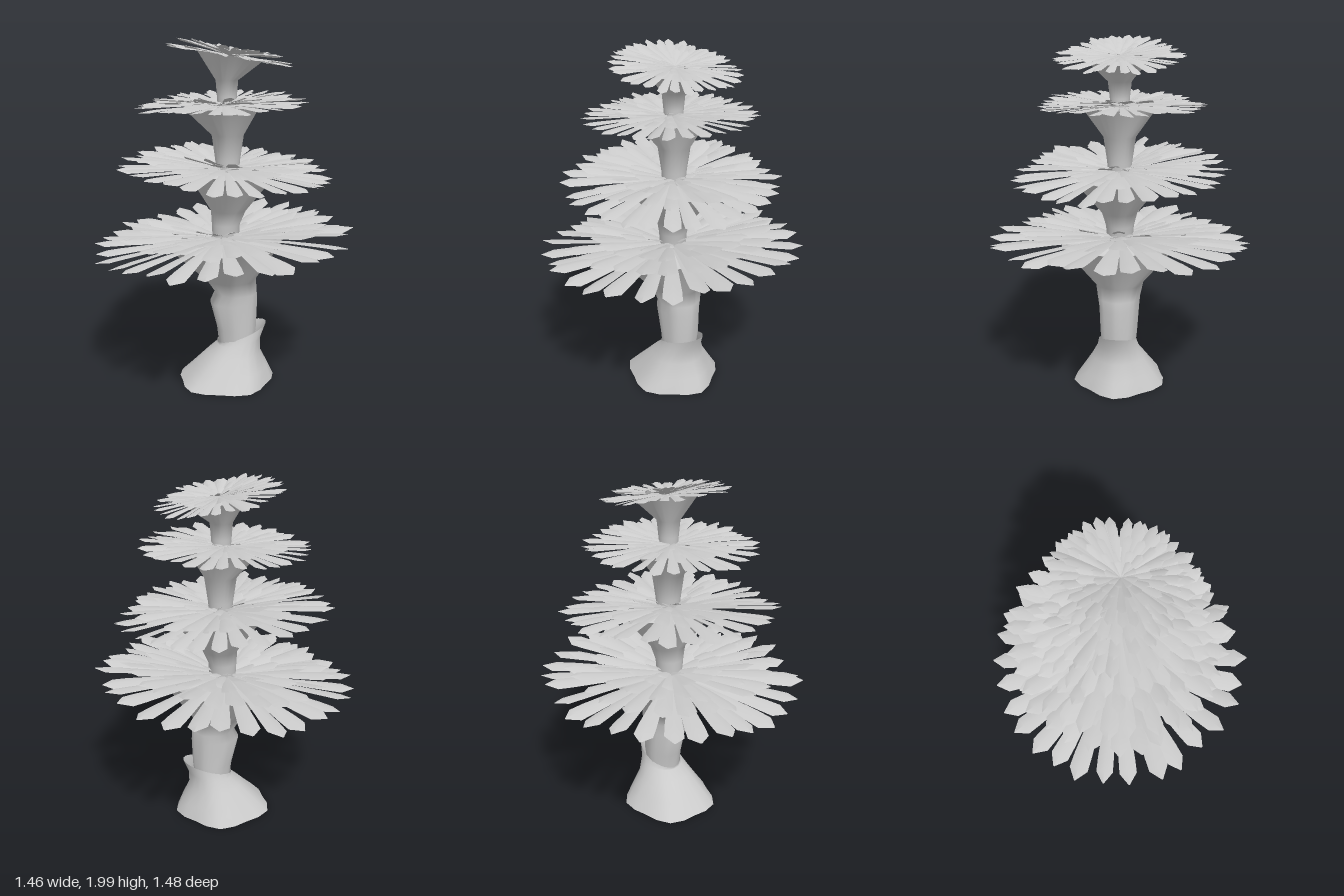
import * as THREE from 'three';
import { mergeGeometries } from 'three/addons/utils/BufferGeometryUtils.js';

const bark = new THREE.MeshStandardMaterial({ color: 0xcccccc, side: THREE.DoubleSide });
const leafMat = new THREE.MeshStandardMaterial({ color: 0xcccccc, side: THREE.DoubleSide });

let seed = 7;
function rand(a, b) {
  seed = (seed * 16807) % 2147483647;
  return a + (b - a) * (seed / 2147483647);
}

// Rows of points joined into a surface; closed rows wrap around
function skin(rows, closed) {
  const n = rows[0].length, idx = [];
  for (let i = 0; i < rows.length - 1; i++) {
    for (let j = 0; j < (closed ? n : n - 1); j++) {
      const k = (j + 1) % n;
      const a = i * n + j, b = i * n + k, c = a + n, d = b + n;
      idx.push(a, c, b, b, c, d);
    }
  }
  const g = new THREE.BufferGeometry();
  g.setAttribute('position', new THREE.Float32BufferAttribute(rows.flat(2), 3));
  g.setIndex(idx);
  g.computeVertexNormals();
  return g;
}

// Section: [y, centre x, radius x, radius z, tilt up towards +x, lobe size]
function trunk(name, sections, lobes) {
  const sides = lobes * 4;
  const rows = sections.map(([y, cx, rx, rz, tilt = 0, lobe = 0]) =>
    Array.from({ length: sides }, (_, j) => {
      const a = (j / sides) * Math.PI * 2;
      const wave = 1 + lobe * Math.cos(a * lobes);
      return [cx + rx * wave * Math.cos(a), y + tilt * Math.cos(a), rz * wave * Math.sin(a)];
    }));
  const mesh = new THREE.Mesh(skin(rows, true), bark);
  mesh.name = name;
  return mesh;
}

// Leaf running out along +x: narrow stem, broad blunt end with a short point, arched across
function leaf(length, width, rise, tip) {
  const rows = [[0.03, 0.16], [0.28, 0.4], [0.55, 0.7], [0.8, 0.96], [0.91, 1], [1, 0.06]].map(([t, w]) => {
    const y = 2 * t * (1 - t) * rise + t * t * tip;
    const half = (w * width) / 2;
    return [[t * length, y - half * 0.16, half], [t * length, y + half * 0.08, 0], [t * length, y - half * 0.16, -half]];
  });
  return skin(rows, false);
}

// Rings of leaves: [radius share, leaf count, middle lift, tip lift]
const RINGS = [
  [1, 30, 0.25, 0.08],
  [0.82, 25, 0.55, 0.7],
  [0.62, 19, 0.5, 0.8],
  [0.4, 14, 0.4, 0.65],
  [0.22, 9, 0.3, 0.5],
];

function canopy(name, { at, radius, height, tiltX = 0, tiltZ = 0 }) {
  const group = new THREE.Group();
  group.name = name;
  RINGS.forEach(([share, count, rise, tip], r) => {
    const leaves = [];
    for (let i = 0; i < count; i++) {
      const len = radius * share * rand(0.96, 1.02);
      const g = leaf(len, radius * (0.085 + 0.055 * share) * rand(0.92, 1.08),
        height * rise, height * (tip + rand(-0.2, 0.2)));
      g.rotateX(rand(-0.22, 0.22));
      g.rotateY(((i + r * 0.5 + rand(-0.15, 0.15)) / count) * Math.PI * 2);
      g.translate(0, r * height * 0.04, 0);
      leaves.push(g);
    }
    const ring = new THREE.Mesh(mergeGeometries(leaves), leafMat);
    ring.name = 'leafRing' + (r + 1);
    group.add(ring);
  });
  group.position.set(...at);
  group.rotation.set(tiltX, 0, tiltZ);
  return group;
}

export function createModel() {
  const tree = new THREE.Group();
  tree.name = 'tieredTree';

  // Spreading foot with a spur on its left side
  tree.add(trunk('trunkBase', [
    [0.01, 0.02, 0.275, 0.26, 0, 0.06],
    [0.09, 0.045, 0.22, 0.21, 0, 0.04],
    [0.18, 0.07, 0.155, 0.155, 0, 0.02],
    [0.25, 0.1, 0.128, 0.12, 0.02],
    [0.3, 0.115, 0.146, 0.108, 0.054],
  ], 5));

  // Stems that open into cups
  tree.add(trunk('lowerTrunk', [
    [0.2, 0.085, 0.1, 0.095],
    [0.33, 0.085, 0.115, 0.106, 0, 0.03],
    [0.49, 0.067, 0.138, 0.115, 0, 0.03],
    [0.55, 0.08, 0.122, 0.122, 0, 0.03],
    [0.63, 0.05, 0.145, 0.138, 0, 0.03],
    [0.865, 0.02, 0.34, 0.345, 0.022, 0.05],
  ], 7));
  tree.add(trunk('secondStem', [
    [0.85, 0.02, 0.075, 0.07],
    [0.96, 0.02, 0.08, 0.08],
    [1.04, 0.035, 0.1, 0.1],
    [1.26, 0.045, 0.26, 0.27, -0.012, 0.05],
  ], 7));
  tree.add(trunk('thirdStem', [
    [1.25, 0.03, 0.065, 0.065],
    [1.33, 0.03, 0.07, 0.07],
    [1.47, 0.03, 0.09, 0.09],
    [1.63, 0, 0.21, 0.21, 0.006, 0.05],
  ], 6));
  tree.add(trunk('topStem', [
    [1.61, 0.025, 0.05, 0.05],
    [1.68, 0.025, 0.055, 0.055],
    [1.77, 0.025, 0.062, 0.065],
    [1.9, 0.045, 0.175, 0.175, -0.029, 0.05],
  ], 6));

  // Leaf discs, each leaning its own way
  tree.add(canopy('lowestCanopy', { at: [0, 0.865, 0], radius: 0.74, height: 0.11, tiltZ: 0.068 }));
  tree.add(canopy('secondCanopy', { at: [0.015, 1.265, 0], radius: 0.61, height: 0.1, tiltX: 0.035, tiltZ: -0.05 }));
  tree.add(canopy('thirdCanopy', { at: [0, 1.63, 0], radius: 0.475, height: 0.065, tiltZ: 0.03 }));
  tree.add(canopy('topCanopy', { at: [0.035, 1.9, 0], radius: 0.355, height: 0.055, tiltZ: -0.165 }));
  return tree;
}
